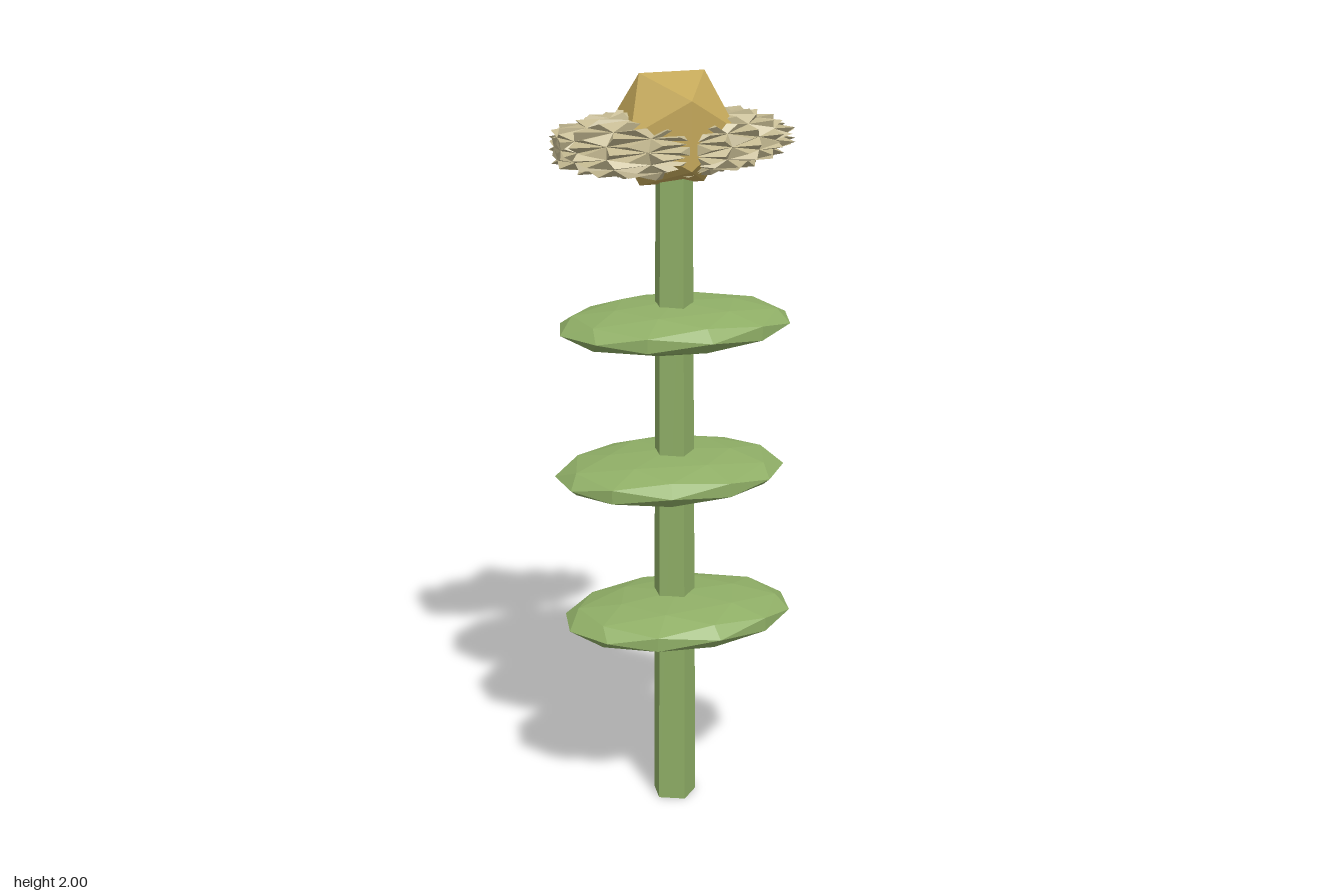
import * as THREE from 'three';

const mat = (color) => new THREE.MeshStandardMaterial({ color, flatShading: true });
const AXIS_X = -0.008, AXIS_Z = 0.003;

// small seeded generator for the spike lengths
function seeded(seed) {
  return () => (seed = (seed * 16807) % 2147483647) / 2147483647;
}

// Flattened ellipsoid whose faces are each raised into a spike
function spikyEllipsoid(rx, ry, rz) {
  const rnd = seeded(41);
  const p = new THREE.IcosahedronGeometry(1, 2).getAttribute('position');
  const out = [];
  // the -x end is stretched and cut blunt, the +x end stays pointed
  const shape = (v) => {
    const x = v.x < 0 ? Math.max(v.x * rx * 1.18, -rx * (0.96 + 0.04 * Math.abs(v.y))) : v.x * rx;
    return [x, v.y * ry, v.z * rz];
  };
  for (let i = 0; i < p.count; i += 3) {
    const c = [0, 1, 2].map((k) => new THREE.Vector3().fromBufferAttribute(p, i + k));
    const tip = c[0].clone().add(c[1]).add(c[2]).normalize().multiplyScalar(0.97 + 0.05 * rnd());
    c.forEach((v) => v.multiplyScalar(0.87));
    for (let k = 0; k < 3; k++) {
      out.push(...shape(c[k]), ...shape(c[(k + 1) % 3]), ...shape(tip));
    }
  }
  const g = new THREE.BufferGeometry();
  g.setAttribute('position', new THREE.Float32BufferAttribute(out, 3));
  g.computeVertexNormals();
  return g;
}

export function createModel() {
  const group = new THREE.Group();
  const green = mat(0x8fae66);
  const add = (name, geometry, material, x, y, z) => {
    const m = new THREE.Mesh(geometry, material);
    m.name = name;
    m.position.set(x, y, z);
    group.add(m);
    return m;
  };

  // five-sided tapering stem
  const stem = new THREE.CylinderGeometry(0.05, 0.061, 1.78, 5, 1, false, Math.PI / 20);
  add('stem', stem, green, AXIS_X, 0.89, AXIS_Z);

  // three flat faceted leaf discs: height, offset x, offset z, half length, half depth, turn
  [
    [0.55, -0.003, 0.02, 0.317, 0.222, 0.12],
    [0.95, -0.015, -0.005, 0.312, 0.228, -0.25],
    [1.35, 0, -0.007, 0.317, 0.222, 0.06],
  ].forEach(([y, x, z, rx, rz, turn], i) => {
    const g = new THREE.IcosahedronGeometry(1, 1).rotateY(turn).scale(rx, 0.06, rz);
    add('leafDisc' + (i + 1), g, green, x, y, z);
  });

  // spiky petal head and faceted core
  add('petalHead', spikyEllipsoid(0.325, 0.092, 0.158), mat(0xc2b78f), 0, 1.825, 0);
  add('flowerCore', new THREE.IcosahedronGeometry(0.165, 0), mat(0xc4a85a), -0.012, 1.86, AXIS_Z);

  return group;
}
